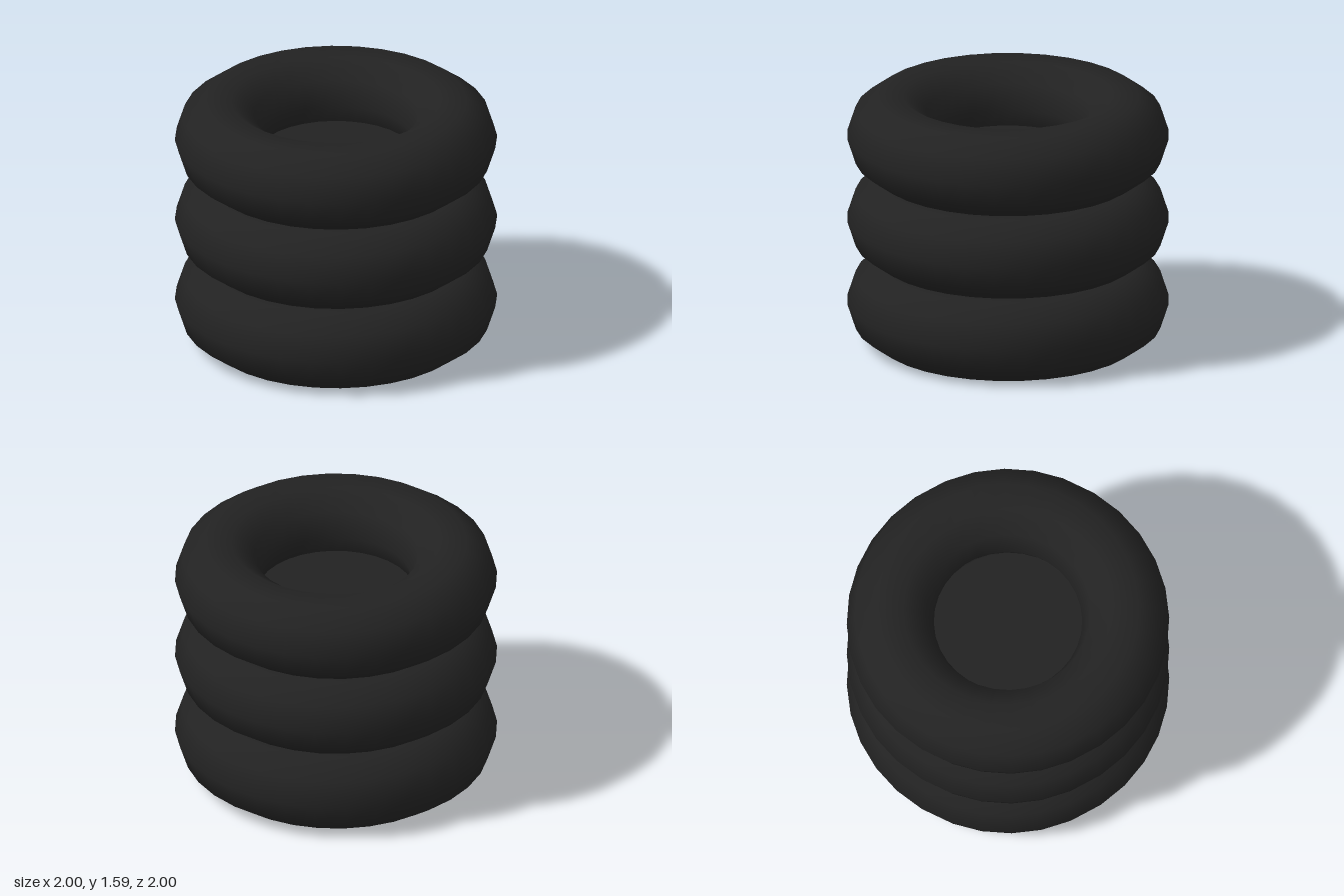
import * as THREE from 'three';

export function createModel() {
  const model = new THREE.Group();
  model.name = 'tyreStack';
  const rubber = new THREE.MeshStandardMaterial({ color: 0x222222 });
  rubber.name = 'black rubber';

  const tube = 0.27;
  const halfHeight = tube * Math.sin(THREE.MathUtils.degToRad(72));
  const tyreGeometry = new THREE.TorusGeometry(1 - tube, tube, 10, 32).rotateX(Math.PI / 2);
  const discGeometry = new THREE.CylinderGeometry(0.487, 0.487, 0.12, 32);

  // Three tyres, each with a disc set low in its hole
  for (let i = 0; i < 3; i++) {
    const unit = new THREE.Group();
    unit.name = `wheel${i + 1}`;
    unit.position.y = halfHeight + i * 2 * tube;

    const tyre = new THREE.Mesh(tyreGeometry, rubber);
    tyre.name = 'tyre';
    const disc = new THREE.Mesh(discGeometry, rubber);
    disc.name = 'hubDisc';
    disc.position.y = -0.167;

    unit.add(tyre, disc);
    model.add(unit);
  }
  return model;
}
